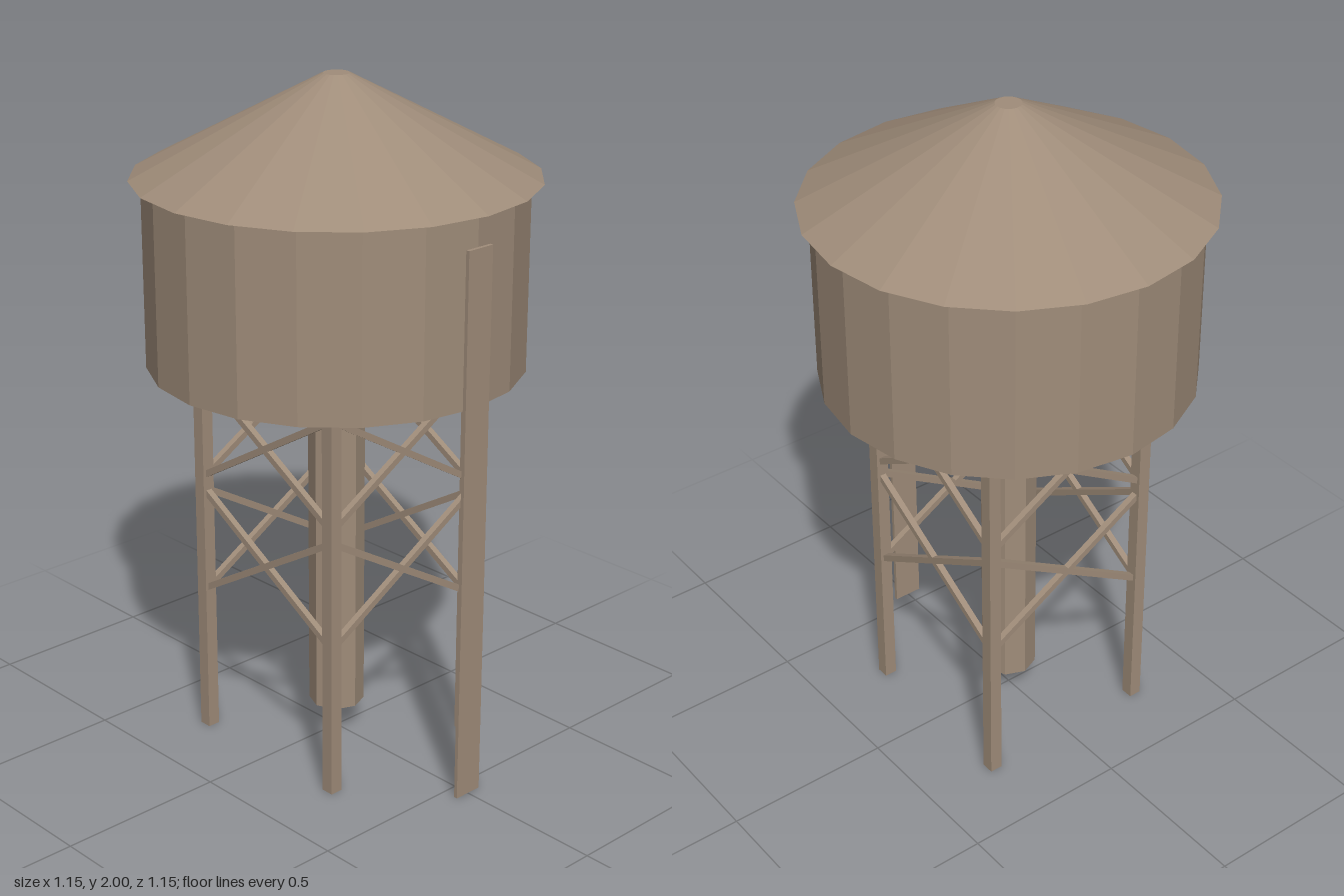
import * as THREE from 'three';

export function createModel() {
  const model = new THREE.Group();
  model.name = 'waterTower';
  const wood = new THREE.MeshStandardMaterial({ color: 0xa08d7a, flatShading: true });
  wood.name = 'weathered wood';

  const add = (name, geometry, x, y, z, parent = model) => {
    const mesh = new THREE.Mesh(geometry, wood);
    mesh.name = name;
    mesh.position.set(x, y, z);
    parent.add(mesh);
    return mesh;
  };
  // Upright prism between two heights
  const drum = (name, rTop, rBottom, y0, y1, sides) =>
    add(name, new THREE.CylinderGeometry(rTop, rBottom, y1 - y0, sides), 0, (y0 + y1) / 2, 0);

  const tankBottom = 1.175, tankTop = 1.715;
  drum('tank', 0.54, 0.54, tankBottom, tankTop, 20);
  drum('roof', 0.037, 0.575, tankTop, 2, 20);
  drum('standpipe', 0.082, 0.082, 0.095, tankBottom, 8);

  // Flat ladder board beside the tank
  add('ladder', new THREE.BoxGeometry(0.011, 1.625, 0.09), 0.5455, 0.8125, 0);

  // Four sides, each with one leg and two crossed pairs of braces
  const legOffset = 0.272, rise = 0.16;
  const braceLength = 2 * Math.hypot(legOffset, rise);
  const braceAngle = Math.atan2(rise, legOffset);
  for (let i = 0; i < 4; i++) {
    const side = new THREE.Group();
    side.name = 'frameSide';
    side.rotation.y = i * Math.PI / 2;
    model.add(side);
    add('leg', new THREE.BoxGeometry(0.038, tankBottom, 0.038), legOffset, tankBottom / 2, legOffset, side);
    for (const y of [0.614, 0.975]) {
      for (const dir of [-1, 1]) {
        const brace = add('brace', new THREE.BoxGeometry(braceLength, 0.019, 0.019), 0, y, legOffset, side);
        brace.rotation.z = dir * braceAngle;
      }
    }
  }
  return model;
}
